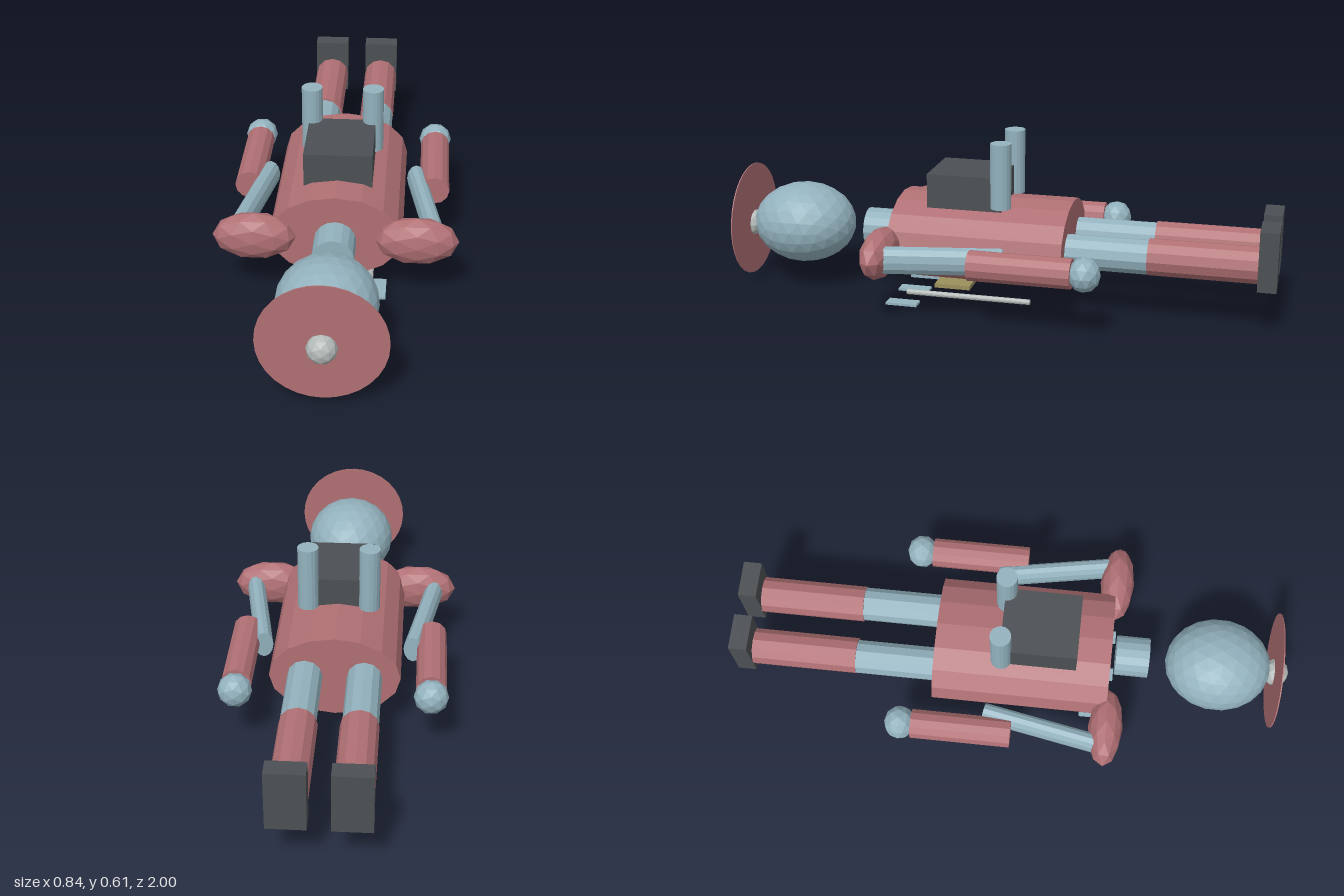
import * as THREE from 'three';

const material = (color) => new THREE.MeshStandardMaterial({ color, flatShading: true, side: THREE.DoubleSide });
const red = material(0xb07074);
const blue = material(0x93b2be);
const dark = material(0x4c5054);
const pale = material(0xb4bab8);
const olive = material(0x9a8f5c);
const MID = 0.233; // height of the body axis

export function createModel() {
  const model = new THREE.Group();
  const add = (name, geometry, mat, x, y, z) => {
    const mesh = new THREE.Mesh(geometry, mat);
    mesh.name = name;
    mesh.position.set(x, y, z);
    model.add(mesh);
    return mesh;
  };
  // Cylinder lying along z, with an oval section rx by ry
  const bar = (name, mat, x, y, z0, z1, rx, ry = rx, sides = 12) =>
    add(name, new THREE.CylinderGeometry(1, 1, Math.abs(z1 - z0), sides).rotateX(Math.PI / 2).scale(rx, ry, 1),
      mat, x, y, (z0 + z1) / 2);
  // Faceted ellipsoid
  const ball = (name, mat, x, y, z, rx, ry, rz, detail) =>
    add(name, new THREE.IcosahedronGeometry(1, detail).scale(rx, ry, rz), mat, x, y, z);
  const box = (name, mat, x0, x1, y0, y1, z0, z1) =>
    add(name, new THREE.BoxGeometry(x1 - x0, y1 - y0, z1 - z0), mat, (x0 + x1) / 2, (y0 + y1) / 2, (z0 + z1) / 2);

  // Body, neck and head
  bar('torso', red, 0, MID, -0.275, 0.35, 0.228, 0.153, 16);
  bar('neck', blue, 0, MID, 0.37, 0.49, 0.072, 0.072, 16);
  ball('head', blue, 0, 0.235, 0.74, 0.167, 0.148, 0.19, 3);
  bar('brimDisc', red, 0, MID, 0.944, 0.948, 0.208, 0.208, 32);
  ball('topKnob', pale, 0, 0.216, 0.952, 0.05, 0.05, 0.048, 1);

  // Backpack and the panel under the chest
  box('backpack', dark, -0.118, 0.118, 0.34, 0.483, -0.04, 0.23);
  box('chestPanel', olive, -0.09, 0.09, 0.05, 0.065, 0.085, 0.215);

  // Limbs and other mirrored parts
  for (const [side, s] of [['left', 1], ['right', -1]]) {
    ball(`${side}Shoulder`, red, s * 0.277, MID, 0.355, 0.143, 0.087, 0.062, 1);
    const arm = bar(`${side}UpperArm`, blue, s * 0.304, 0.23, -0.085, 0.345, 0.033, 0.05);
    arm.rotation.y = s * 0.18;
    bar(`${side}Forearm`, red, s * 0.334, 0.235, -0.335, 0.02, 0.053);
    ball(`${side}Hand`, blue, s * 0.334, 0.235, -0.377, 0.06, 0.06, 0.056, 1);
    bar(`${side}Thigh`, blue, s * 0.103, 0.235, -0.56, -0.26, 0.061);
    bar(`${side}Shin`, red, s * 0.101, 0.237, -0.94, -0.56, 0.065);
    box(`${side}Boot`, dark, s * 0.102 - 0.065, s * 0.102 + 0.065, 0.163, 0.374, -1, -0.935);
    add(`${side}PackTube`, new THREE.CylinderGeometry(0.037, 0.037, 0.233, 16), blue, s * 0.108, 0.4915, -0.036);
    bar(`${side}Rod`, pale, s * 0.118, 0.036, -0.145, 0.31, 0.01);
  }

  // Small plates on the ground
  for (const x of [-0.15, 0, 0.15]) box('plate', blue, x - 0.024, x + 0.024, 0, 0.009, 0.26, 0.375);

  return model;
}
